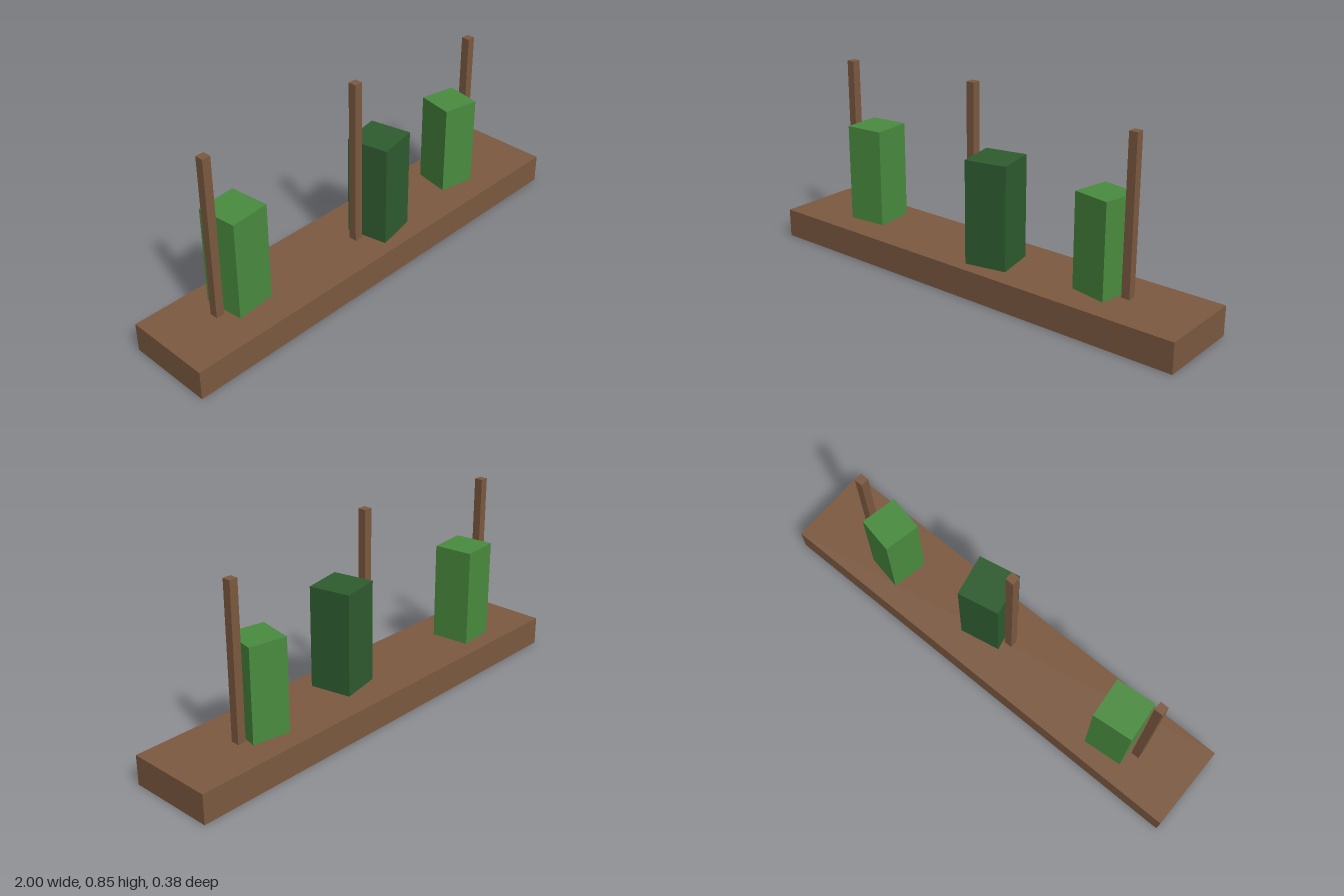
import * as THREE from 'three';

export function createModel() {
  const model = new THREE.Group();
  const wood = new THREE.MeshStandardMaterial({ color: 0x7d5a40, side: THREE.DoubleSide });
  wood.name = 'brown wood';
  const leaf = new THREE.MeshStandardMaterial({ color: 0x4a8c3f });
  leaf.name = 'light leaf green';
  const darkLeaf = new THREE.MeshStandardMaterial({ color: 0x2f5d30 });
  darkLeaf.name = 'dark leaf green';

  const baseTop = 0.125;

  // Upright box standing between two heights, turned about y
  function block(name, material, w, d, y0, y1, x, z, turn = 0) {
    const mesh = new THREE.Mesh(new THREE.BoxGeometry(w, y1 - y0, d), material);
    mesh.name = name;
    mesh.position.set(x, (y0 + y1) / 2, z);
    mesh.rotation.y = turn;
    model.add(mesh);
    return mesh;
  }

  // Planter: thin-walled tray, open underneath (bottom face left out)
  const planter = block('planter', wood, 2, 0.375, 0, baseTop, 0, 0);
  const index = Array.from(planter.geometry.index.array);
  index.splice(18, 6);
  planter.geometry.setIndex(index);
  planter.geometry.clearGroups();

  // Plants: [material, size, top, x, z, turn]
  [
    [leaf, 0.172, 0.549, -0.632, -0.024, 0.094],
    [darkLeaf, 0.18, 0.563, 0.084, 0.031, 0.2],
    [leaf, 0.16, 0.521, 0.573, -0.01, -0.19],
  ].forEach(([mat, size, top, x, z, turn], i) =>
    block('plant' + (i + 1), mat, size, size, baseTop, top, x, z, turn));

  // Support stakes: [top, x, z]
  [
    [0.82, -0.751, -0.014],
    [0.846, -0.041, 0.021],
    [0.776, 0.685, -0.014],
  ].forEach(([top, x, z], i) =>
    block('stake' + (i + 1), wood, 0.036, 0.036, baseTop, top, x, z));

  return model;
}
